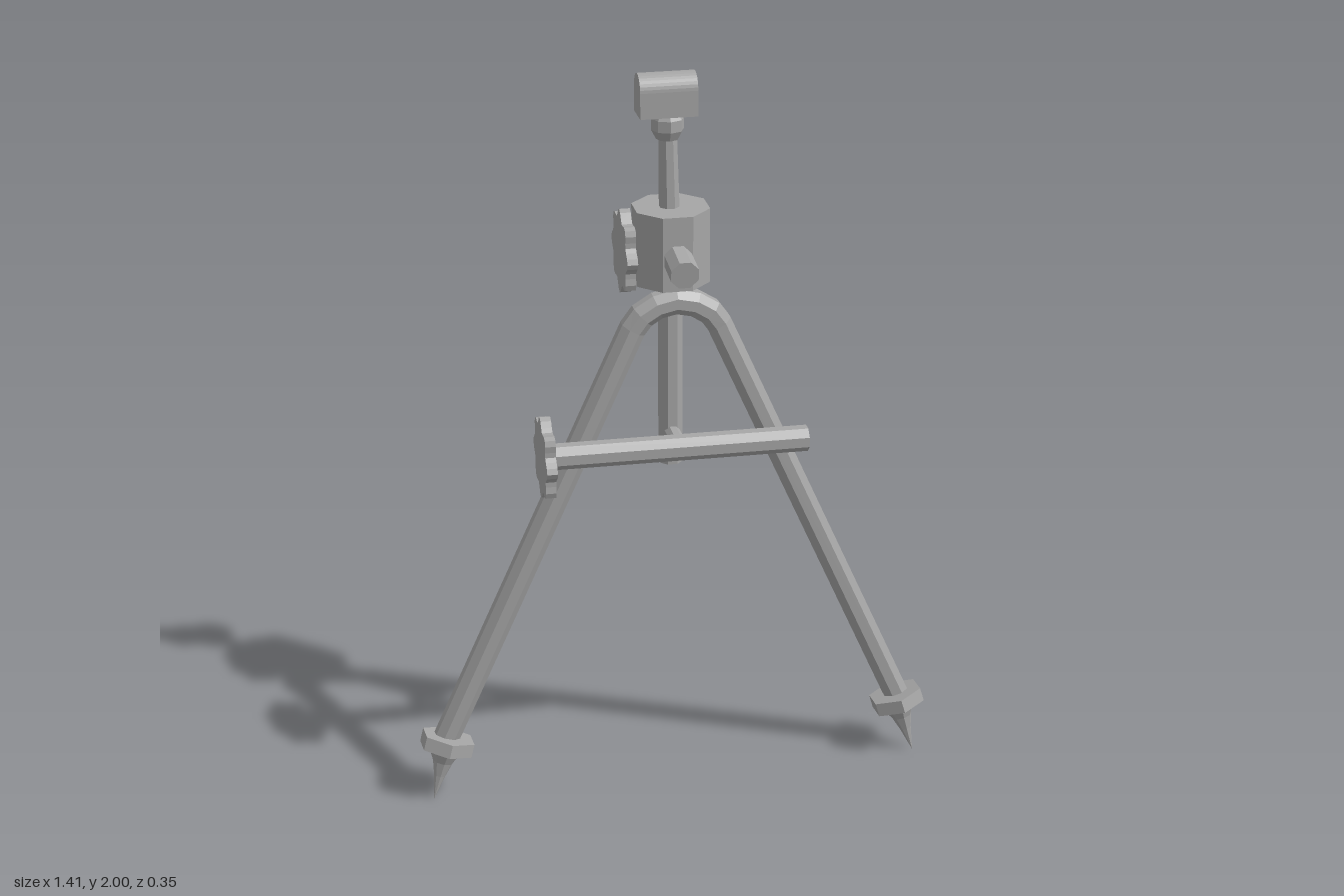
import * as THREE from 'three';

const steel = new THREE.MeshStandardMaterial({ color: 0xa6a6a6, flatShading: true });
steel.name = 'grey steel';

const V = (x, y, z) => new THREE.Vector3(x, y, z);
const UP = V(0, 1, 0);

function add(parent, name, geometry) {
  const mesh = new THREE.Mesh(geometry, steel);
  mesh.name = name;
  parent.add(mesh);
  return mesh;
}

// Octagonal rod between two points, a flat side facing front
function rod(parent, name, from, to, r0, r1 = r0, sides = 8) {
  const dir = to.clone().sub(from);
  const geo = new THREE.CylinderGeometry(r1, r0, dir.length(), sides);
  geo.rotateY(Math.PI / sides);
  const mesh = add(parent, name, geo);
  mesh.position.copy(from).add(to).multiplyScalar(0.5);
  mesh.quaternion.setFromUnitVectors(UP, dir.normalize());
  return mesh;
}

// Scalloped hand wheel, its axle along x
function knob(parent, name, x, y, z) {
  const points = [];
  for (let i = 0; i < 48; i++) {
    const a = (i / 48) * Math.PI * 2;
    const r = 0.103 + 0.012 * Math.cos(8 * a);
    points.push(new THREE.Vector2(Math.cos(a) * r, Math.sin(a) * r));
  }
  const depth = 0.028;
  const geo = new THREE.ExtrudeGeometry(new THREE.Shape(points), { depth, bevelEnabled: false });
  geo.translate(0, 0, -depth / 2).rotateY(Math.PI / 2);
  add(parent, name, geo).position.set(x, y, z);
}

// Mitred tube along a path lying close to the x-y plane
function bentTube(path, radius, sides) {
  const pos = [], index = [];
  const flatDir = (a, b) => V(b.x - a.x, b.y - a.y, 0).normalize();
  path.forEach((p, i) => {
    const d0 = flatDir(path[Math.max(i - 1, 0)], path[Math.max(i, 1)]);
    const last = path.length - 1;
    const d1 = flatDir(path[Math.min(i, last - 1)], path[Math.min(i + 1, last)]);
    const t = d0.clone().add(d1).normalize();
    const miter = radius / t.dot(d0);
    for (let j = 0; j < sides; j++) {
      const a = ((j + 0.5) / sides) * Math.PI * 2;
      const u = Math.cos(a) * miter;
      pos.push(p.x - t.y * u, p.y + t.x * u, p.z + Math.sin(a) * radius);
      if (i < last) {
        const k = (j + 1) % sides;
        const A = i * sides + j, B = i * sides + k;
        index.push(A, B, A + sides, B, B + sides, A + sides);
      }
    }
  });
  const geo = new THREE.BufferGeometry();
  geo.setAttribute('position', new THREE.Float32BufferAttribute(pos, 3));
  geo.setIndex(index);
  geo.computeVertexNormals();
  return geo;
}

export function createModel() {
  const model = new THREE.Group();
  model.name = 'bipod stand';
  const zc = -0.055;

  // Bent tube forming both legs
  const half = [[0.64, 0.16, -0.008], [0.115, 1.335, 0.01], [0.09, 1.37, 0.012], [0.05, 1.395, 0.012]];
  const path = [
    ...half.map(([x, y, z]) => V(-x, y, z)),
    V(0, 1.406, 0.012),
    ...half.slice().reverse().map(([x, y, z]) => V(x, y, z)),
  ];
  add(model, 'legs', bentTube(path, 0.036, 8));

  // Feet: hexagonal collar and ground spike
  for (const side of [-1, 1]) {
    const foot = new THREE.Group();
    foot.name = side > 0 ? 'leftFoot' : 'rightFoot';
    foot.position.set(side * 0.637, 0.152, 0.004);
    foot.quaternion.setFromUnitVectors(UP, V(-side * 0.043, 0.152, -0.024).normalize());
    const collar = add(foot, 'footCollar', new THREE.CylinderGeometry(0.077, 0.077, 0.038, 6));
    collar.position.y = 0.005;
    const profile = [[0, -0.16], [0.016, -0.09], [0.028, -0.05], [0.048, -0.012]];
    add(foot, 'footSpike', new THREE.LatheGeometry(profile.map(([r, y]) => new THREE.Vector2(r, y)), 8));
    model.add(foot);
  }

  // Central post and the thinner neck above the hub
  rod(model, 'lowerPost', V(0, 0.92, zc - 0.005), V(0, 1.5, zc - 0.005), 0.033);
  rod(model, 'neck', V(-0.003, 1.6, zc), V(-0.008, 1.86, zc), 0.028, 0.024);

  // Hub with its front peg and side wheel
  rod(model, 'hub', V(0, 1.44, zc), V(0, 1.642, zc), 0.104);
  rod(model, 'hubPeg', V(0, 1.537, -0.03), V(0, 1.517, 0.13), 0.039);
  rod(model, 'hubAxle', V(-0.12, 1.525, -0.063), V(-0.06, 1.525, -0.063), 0.03);
  knob(model, 'hubWheel', -0.12, 1.525, -0.063);

  // Cross bar, its bracket to the post, and its wheel
  rod(model, 'crossBar', V(-0.36, 1.013, 0.064), V(0.345, 1.008, 0.064), 0.035);
  rod(model, 'barBracket', V(0, 1.01, zc), V(0, 1.01, 0.06), 0.022);
  knob(model, 'barWheel', -0.357, 1.012, 0.06);

  // Collar beneath the head
  const collarProfile = [[0, 1.825], [0.03, 1.825], [0.043, 1.85], [0.043, 1.88], [0.034, 1.895], [0, 1.895]];
  const headCollar = add(model, 'headCollar',
    new THREE.LatheGeometry(collarProfile.map(([r, y]) => new THREE.Vector2(r, y)), 8));
  headCollar.position.set(-0.008, 0, zc);

  // Head: block with a rounded top, running along x
  const r = 0.042;
  const arch = new THREE.Shape();
  arch.moveTo(-r, 1.89);
  arch.lineTo(r, 1.89);
  arch.lineTo(r, 2 - r);
  arch.absarc(0, 2 - r, r, 0, Math.PI, false);
  arch.closePath();
  const headGeo = new THREE.ExtrudeGeometry(arch, { depth: 0.15, bevelEnabled: false, curveSegments: 8 });
  headGeo.rotateY(Math.PI / 2);
  add(model, 'head', headGeo).position.set(-0.086, 0, zc - 0.003);

  return model;
}
